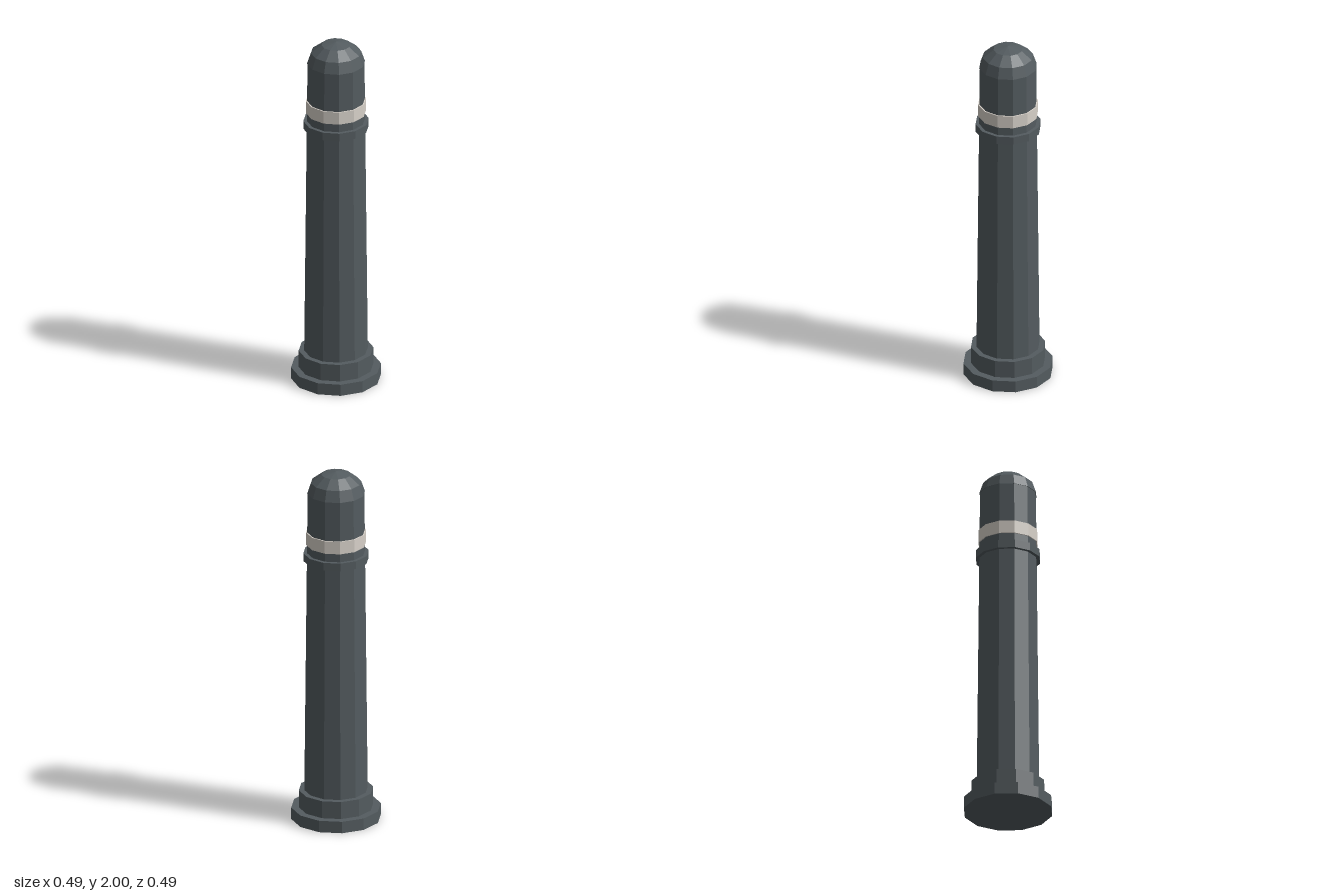
import * as THREE from 'three';

const SIDES = 12;

export function createModel() {
  const group = new THREE.Group();
  group.name = 'bollard';

  const iron = new THREE.MeshStandardMaterial({ color: 0x545c60 });
  iron.name = 'dark slate';
  iron.flatShading = true;
  const white = new THREE.MeshStandardMaterial({ color: 0xd8d2ca });
  white.name = 'off white';
  white.flatShading = true;

  // Faceted drum between two heights
  function drum(name, y0, y1, rBottom, rTop, material) {
    const mesh = new THREE.Mesh(
      new THREE.CylinderGeometry(rTop, rBottom, y1 - y0, SIDES), material);
    mesh.position.y = (y0 + y1) / 2;
    mesh.name = name;
    group.add(mesh);
  }

  drum('basePlate', 0, 0.066, 0.243, 0.243, iron);
  drum('plinth', 0.066, 0.164, 0.202, 0.202, iron);
  drum('post', 0.164, 1.88, 0.172, 0.154, iron);
  drum('collar', 1.49, 1.535, 0.177, 0.177, iron);
  drum('reflectiveBand', 1.583, 1.655, 0.163, 0.163, white);

  // Flattened dome cap, slightly wider than the post top
  const cap = new THREE.Mesh(
    new THREE.SphereGeometry(0.157, SIDES, 3, 0, Math.PI * 2, 0, Math.PI / 2), iron);
  cap.scale.y = 0.122 / 0.157;
  cap.position.y = 1.878;
  cap.name = 'domeCap';
  group.add(cap);

  // Underside of the cap's small overhang
  const rim = new THREE.Mesh(new THREE.CircleGeometry(0.157, SIDES), iron);
  rim.rotation.x = Math.PI / 2;
  rim.position.y = 1.878;
  rim.name = 'capUnderside';
  group.add(rim);

  return group;
}
